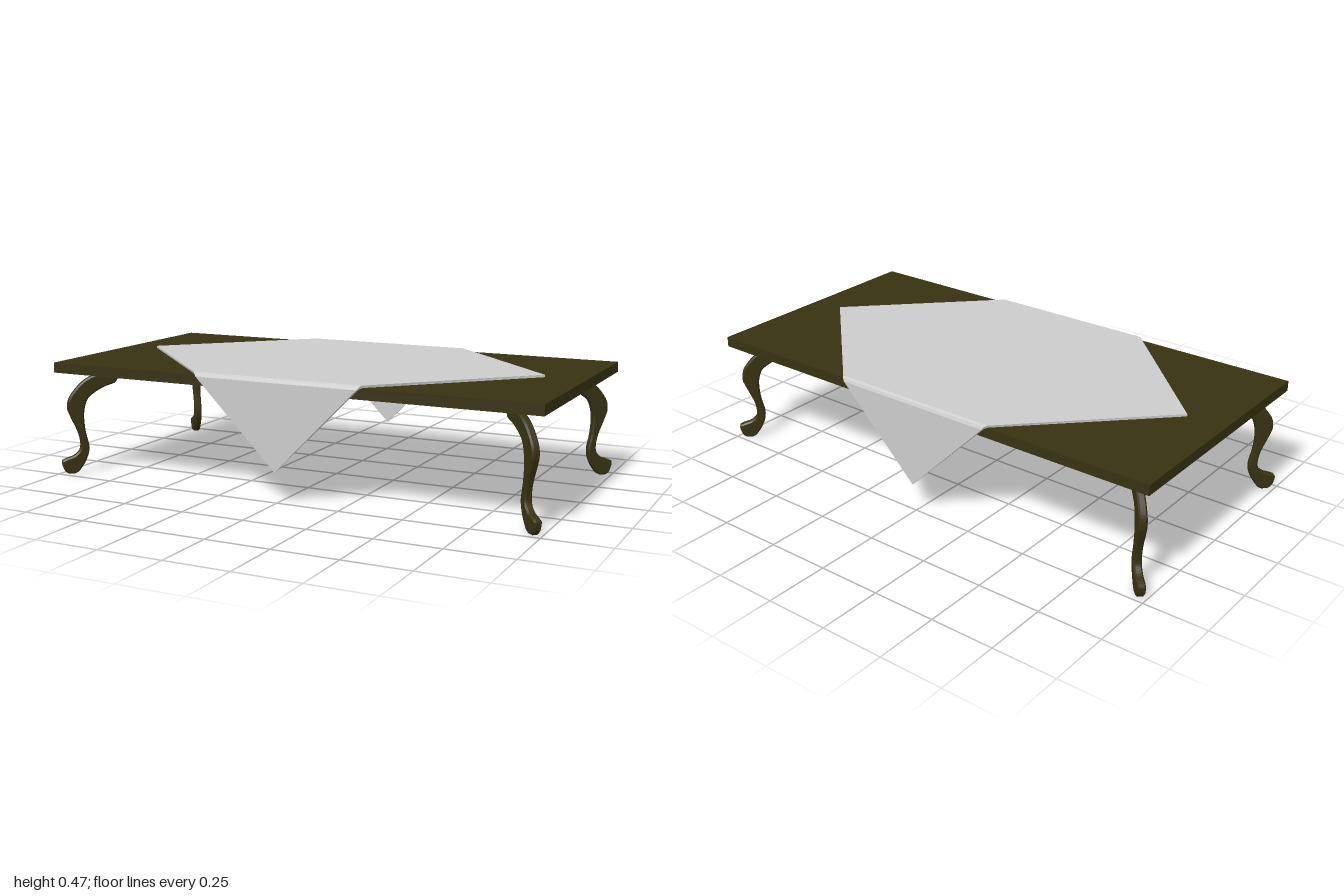
import * as THREE from 'three';
import { toCreasedNormals } from 'three/addons/utils/BufferGeometryUtils.js';

const LEG_THICKNESS = 0.03;
const BEVEL = 0.006;

// Cabriole leg: an S-shaped profile with a slightly bevelled edge.
// x runs outwards along the table's diagonal, y is up.
function legGeometry() {
  const inset = LEG_THICKNESS / (2 * Math.SQRT2);
  const v = (z, y) => new THREE.Vector2(z * Math.SQRT2, y);
  const outer = [
    [0.482, 0], [0.494, 0.015], [0.5, 0.05], [0.488, 0.062], [0.462, 0.076], [0.447, 0.105],
    [0.451, 0.16], [0.471, 0.23], [0.479, 0.267], [0.471, 0.314],
    [0.432, 0.375], [0.388, 0.403], [0.35, 0.409],
  ].map(([z, y]) => v(z - inset, y));
  const inner = [
    [0.3125, 0.405], [0.3125, 0.39], [0.321, 0.364], [0.349, 0.35], [0.379, 0.328],
    [0.401, 0.3], [0.412, 0.244], [0.41, 0.175], [0.401, 0.105], [0.41, 0.055],
    [0.43, 0.012], [0.443, 0],
  ].map(([z, y]) => v(z + inset, y));

  const shape = new THREE.Shape();
  shape.moveTo(outer[0].x, outer[0].y);
  shape.splineThru(outer.slice(1));
  shape.lineTo(inner[0].x, inner[0].y);
  shape.splineThru(inner.slice(1));
  shape.closePath();

  const depth = LEG_THICKNESS - 2 * BEVEL;
  const geometry = new THREE.ExtrudeGeometry(shape, {
    depth, curveSegments: 36,
    bevelEnabled: true, bevelSize: BEVEL, bevelThickness: BEVEL,
    bevelOffset: -BEVEL, bevelSegments: 1,
  });
  geometry.translate(0, 0, -depth / 2);
  return toCreasedNormals(geometry, 0.6);
}

// Square cloth laid cornerwise: flat on top, two corners folded over the long edges.
function clothGeometry() {
  // Each station: outer z, outer y, inner z, inner y, half width
  const half = [
    [0, 0.466, 0, 0.457, 0.85],
    [0.503, 0.466, 0.5, 0.457, 0.345],
    [0.512, 0.461, 0.506, 0.453, 0.338],
    [0.517, 0.45, 0.508, 0.447, 0.33],
    [0.517, 0.12, 0.508, 0.12, 0.001],
  ];
  const back = half.slice(1).reverse().map(([a, b, c, d, w]) => [-a, b, -c, d, w]);
  const rings = [...back, ...half].map(([zo, yo, zi, yi, w]) => [
    [-w, yo, zo], [w, yo, zo], [w, yi, zi], [-w, yi, zi],
  ]);
  const positions = [];
  const quad = (a, b, c, d) => positions.push(...a, ...b, ...c, ...a, ...c, ...d);
  for (let i = 0; i < rings.length - 1; i++) {
    const p = rings[i], q = rings[i + 1];
    for (let k = 0; k < 4; k++) {
      const n = (k + 1) % 4;
      quad(p[k], q[k], q[n], p[n]);
    }
  }
  const geometry = new THREE.BufferGeometry();
  geometry.setAttribute('position', new THREE.Float32BufferAttribute(positions, 3));
  geometry.computeVertexNormals();
  return geometry;
}

export function createModel() {
  const model = new THREE.Group();
  model.name = 'table';
  const wood = new THREE.MeshStandardMaterial({ color: 0x373212 });
  const linen = new THREE.MeshStandardMaterial({ color: 0xcccccc, side: THREE.DoubleSide });

  const add = (name, geometry, material) => {
    const mesh = new THREE.Mesh(geometry, material);
    mesh.name = name;
    model.add(mesh);
    return mesh;
  };

  // Table top
  add('tableTop', new THREE.BoxGeometry(2, 0.04, 1), wood).position.y = 0.434;

  // Four legs, each turned to face its corner
  const leg = legGeometry();
  for (const sx of [-1, 1]) {
    for (const sz of [-1, 1]) {
      const name = (sz > 0 ? 'front' : 'back') + (sx > 0 ? 'Left' : 'Right') + 'Leg';
      const mesh = add(name, leg, wood);
      mesh.position.x = sx * 0.5;
      mesh.rotation.y = -Math.atan2(sz, sx);
    }
  }

  // Tablecloth
  add('tablecloth', clothGeometry(), linen);
  return model;
}
